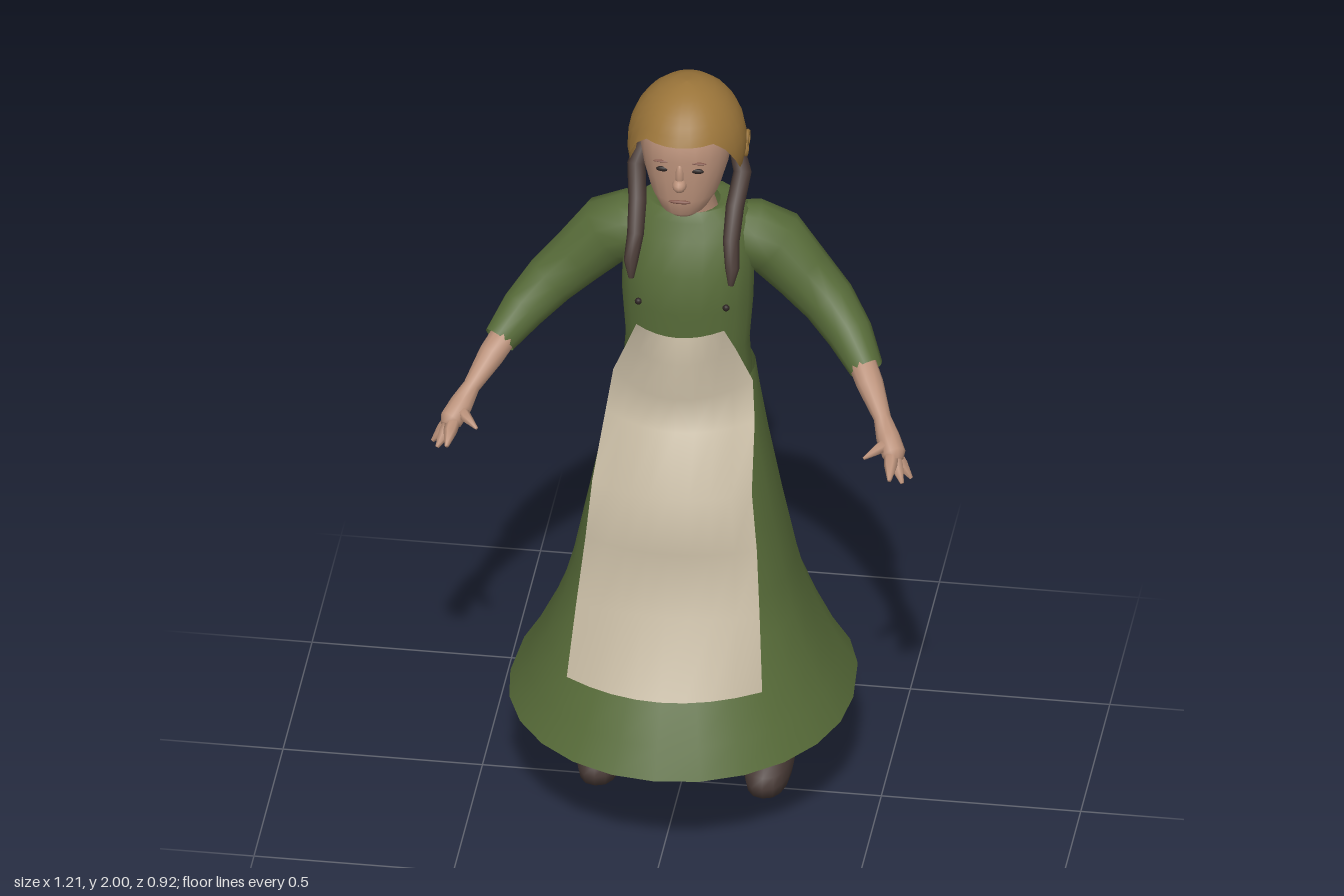
import * as THREE from 'three';

const mat = (name, color, side = THREE.DoubleSide) => {
  const m = new THREE.MeshStandardMaterial({ color, side });
  m.name = name;
  return m;
};

// Skin a grid of points; rows run upward/along, columns run counter-clockwise.
function skin(rows, { closed = true, caps = false, skip = () => false } = {}) {
  const n = rows[0].length, pos = [], idx = [];
  rows.forEach(r => r.forEach(p => pos.push(p.x, p.y, p.z)));
  for (let i = 0; i < rows.length - 1; i++) {
    for (let j = 0; j < (closed ? n : n - 1); j++) {
      if (skip(i, j)) continue;
      const a = i * n + j, b = i * n + (j + 1) % n;
      idx.push(a, b, b + n, a, b + n, a + n);
    }
  }
  if (caps) {
    for (const end of [0, rows.length - 1]) {
      const c = rows[end].reduce((s, p) => s.add(p), new THREE.Vector3()).divideScalar(n);
      const k = pos.length / 3;
      pos.push(c.x, c.y, c.z);
      for (let j = 0; j < n; j++) {
        const a = end * n + j, b = end * n + (j + 1) % n;
        end ? idx.push(a, b, k) : idx.push(b, a, k);
      }
    }
  }
  const g = new THREE.BufferGeometry();
  g.setAttribute('position', new THREE.Float32BufferAttribute(pos, 3));
  g.setIndex(idx);
  g.computeVertexNormals();
  return g;
}

// Horizontal rings: [y, half width, front z, back z]; angle 0 faces the front.
function stack(rows, { seg = 20, cx = 0, front = 2, back = 2, ...opts } = {}) {
  return skin(rows.map(([y, rx, zf, zb]) => Array.from({ length: seg }, (_, j) => {
    const a = j / seg * Math.PI * 2, s = Math.sin(a), c = Math.cos(a);
    const e = 2 / (c > 0 ? front : back);
    return new THREE.Vector3(cx + Math.sign(s) * Math.abs(s) ** e * rx, y,
      (zf + zb) / 2 + Math.sign(c) * Math.abs(c) ** e * (zf - zb) / 2);
  })), opts);
}

// Round limb along points [x, y, z, radius], mirrored with s.
function limb(points, s = 1, seg = 10, caps = true) {
  const c = points.map(p => new THREE.Vector3(p[0] * s, p[1], p[2]));
  return skin(c.map((p, i) => {
    const d = c[Math.min(i + 1, c.length - 1)].clone().sub(c[Math.max(i - 1, 0)]).normalize();
    const u = new THREE.Vector3(0, 0, 1).cross(d).normalize();
    const v = d.clone().cross(u);
    return Array.from({ length: seg }, (_, j) => {
      const a = j / seg * Math.PI * 2, r = points[i][3];
      return p.clone().addScaledVector(u, Math.cos(a) * r).addScaledVector(v, Math.sin(a) * r);
    });
  }), { caps });
}

export function createModel() {
  const root = new THREE.Group();
  const green = mat('dress green', 0x566a38), linen = mat('apron linen', 0xc2b69f);
  const skinTone = mat('skin', 0xba917a), ochre = mat('cap ochre', 0x9b753a);
  const hair = mat('hair brown', 0x4a3b36), leather = mat('shoe leather', 0x483a36);
  const dark = mat('eye dark', 0x2c2422), lip = mat('lip', 0x855a4e);
  const add = (name, geo, m, parent = root) => {
    const mesh = new THREE.Mesh(geo, m);
    mesh.name = name;
    parent.add(mesh);
    return mesh;
  };
  const blob = (name, m, x, y, z, sx, sy, sz, parent) => {
    const b = add(name, new THREE.SphereGeometry(1, 12, 8), m, parent);
    b.position.set(x, y, z);
    b.scale.set(sx, sy, sz);
    return b;
  };

  // Skirt, with a stepped opening behind the apron
  const opening = { 4: 2, 5: 3, 6: 4, 7: 4 };
  add('skirt', stack([
    [0.285, 0.43, 0.46, -0.46], [0.36, 0.385, 0.42, -0.42], [0.45, 0.34, 0.365, -0.385],
    [0.55, 0.3, 0.3, -0.345], [0.64, 0.275, 0.245, -0.32], [0.81, 0.24, 0.215, -0.29],
    [0.98, 0.205, 0.17, -0.27], [1.1, 0.18, 0.1, -0.255], [1.17, 0.168, 0.04, -0.235],
  ], { seg: 24, back: 2.5, skip: (i, j) => Math.min(j, 23 - j) < (opening[i] || 0) }), green);

  // Bodice
  add('bodice', stack([
    [1.15, 0.162, 0.02, -0.215], [1.25, 0.155, 0.015, -0.21], [1.38, 0.165, 0.025, -0.225],
    [1.48, 0.165, 0.012, -0.245], [1.56, 0.16, -0.03, -0.248], [1.6, 0.145, -0.055, -0.243],
    [1.628, 0.11, -0.065, -0.235], [1.62, 0.075, -0.075, -0.215],
  ], { back: 2.4 }), green);

  // Apron: a curved sheet, [y, half width, middle z, edge z]
  add('apron', skin([
    [0.47, 0.245, 0.385, 0.3], [0.65, 0.23, 0.275, 0.24], [0.81, 0.215, 0.235, 0.185],
    [0.97, 0.2, 0.235, 0.17], [1.09, 0.187, 0.11, 0.03], [1.18, 0.175, 0.1, -0.02],
    [1.28, 0.135, 0.1, 0], [1.35, 0.11, 0.08, 0.03],
  ].map(([y, w, zm, ze]) => Array.from({ length: 9 }, (_, j) => {
    const u = j / 4 - 1;
    return new THREE.Vector3(u * w, y, zm + (ze - zm) * u * u);
  })), { closed: false }), linen);

  // Head and neck
  const head = new THREE.Group();
  head.name = 'head';
  root.add(head);
  add('neck', stack([[1.57, 0.08, -0.07, -0.21], [1.64, 0.062, -0.07, -0.19],
    [1.76, 0.065, -0.04, -0.2]]), skinTone, head);
  add('face', stack([
    [1.66, 0.035, 0.005, -0.08], [1.68, 0.06, 0.028, -0.13], [1.72, 0.086, 0.035, -0.18],
    [1.78, 0.104, 0.042, -0.21], [1.84, 0.115, 0.043, -0.22], [1.9, 0.112, 0.04, -0.22],
    [1.95, 0.08, 0, -0.18],
  ], { caps: true, front: 2.2 }), skinTone, head);
  blob('nose', skinTone, 0, 1.775, 0.042, 0.018, 0.018, 0.023, head);
  blob('noseBridge', skinTone, 0, 1.8, 0.038, 0.011, 0.035, 0.014, head);
  blob('mouth', lip, 0, 1.722, 0.036, 0.028, 0.005, 0.006, head);

  // Cap: part of an ellipsoid with a rim that drops from forehead to nape
  const rim = a => {
    const t = THREE.MathUtils.smoothstep(a, 0.65, 1.5);
    return 1.9 - 0.13 * t - 0.04 * THREE.MathUtils.smoothstep(a, 1.5, 3.1);
  };
  add('cap', skin(Array.from({ length: 9 }, (_, i) => Array.from({ length: 28 }, (_, j) => {
    const a = j / 28 * Math.PI * 2;
    const low = Math.asin((rim(Math.min(a, Math.PI * 2 - a)) - 1.83) / 0.17);
    const p = THREE.MathUtils.lerp(low, Math.PI / 2 - 0.001, i / 8), r = Math.cos(p);
    return new THREE.Vector3(Math.sin(a) * r * 0.148, 1.83 + 0.17 * Math.sin(p),
      -0.09 + Math.cos(a) * r * 0.175);
  }))), ochre, head);

  // Bow behind the cap
  blob('bowKnot', ochre, 0, 1.735, -0.285, 0.014, 0.016, 0.014, head);

  for (const s of [1, -1]) {
    // Facial details
    blob('eye', dark, s * 0.043, 1.815, 0.034, 0.017, 0.007, 0.006, head);
    blob('eyebrow', lip, s * 0.045, 1.838, 0.035, 0.022, 0.003, 0.005, head);
    // Bow loops, tails and side curls
    const loop = blob('bowLoop', ochre, s * 0.03, 1.738, -0.297, 0.025, 0.016, 0.01, head);
    loop.rotation.y = s * 0.35;
    add('bowTail', limb([[0.005, 1.735, -0.285, 0.007], [0.022, 1.67, -0.295, 0.012],
      [0.032, 1.605, -0.304, 0.01]], s, 6), ochre, head).name = 'bowTail';
    for (const [y, z] of [[1.79, -0.13], [1.805, -0.155]]) {
      const curl = add('capCurl', new THREE.TorusGeometry(0.016, 0.006, 6, 12), ochre, head);
      curl.position.set(s * 0.142, y, z);
      curl.rotation.y = Math.PI / 2;
    }
    // Braid falling forward over the shoulder
    add('braid', limb([[0.115, 1.78, -0.15, 0.02], [0.133, 1.72, -0.13, 0.023],
      [0.122, 1.65, -0.075, 0.023], [0.12, 1.58, -0.025, 0.021], [0.127, 1.52, 0.005, 0.018],
      [0.125, 1.475, 0.015, 0.007]], s, 8), hair);
    // Sleeve, open at the cuff
    add('sleeve', limb([[0.1, 1.53, -0.16, 0.075], [0.15, 1.52, -0.165, 0.088],
      [0.21, 1.495, -0.17, 0.088], [0.28, 1.42, -0.16, 0.076], [0.35, 1.355, -0.135, 0.068],
      [0.41, 1.295, -0.085, 0.058], [0.46, 1.24, -0.02, 0.043]], s, 12, false), green);
    // Forearm and hand
    const arm = new THREE.Group();
    arm.name = s > 0 ? 'leftHand' : 'rightHand';
    root.add(arm);
    add('forearm', limb([[0.43, 1.275, -0.055, 0.036], [0.475, 1.22, 0.02, 0.034],
      [0.515, 1.165, 0.085, 0.022], [0.535, 1.135, 0.125, 0.03],
      [0.555, 1.11, 0.16, 0.03], [0.563, 1.1, 0.175, 0.018]], s), skinTone, arm);
    for (const [x, y, z] of [[0.6, 1.05, 0.17], [0.583, 1.058, 0.21], [0.555, 1.08, 0.238]]) {
      add('finger', limb([[0.547, 1.12, 0.15, 0.02],
        [(0.55 + x) / 2, (1.115 + y) / 2, (0.155 + z) / 2, 0.017], [x, y, z, 0.005]], s, 6),
      skinTone, arm);
    }
    add('thumb', limb([[0.54, 1.13, 0.135, 0.018], [0.515, 1.125, 0.17, 0.014],
      [0.485, 1.115, 0.2, 0.004]], s, 6), skinTone, arm);
    // Bodice button
    blob('button', dark, s * 0.11, 1.395, -0.005, 0.009, 0.009, 0.008);
    // Shoe
    add('shoe', stack([[0, 0.054, 0.055, -0.2], [0.03, 0.06, 0.065, -0.21],
      [0.055, 0.058, 0.05, -0.21], [0.085, 0.053, 0, -0.208], [0.118, 0.045, -0.055, -0.2],
    ], { cx: s * 0.21, front: 2.4, back: 3, caps: true, seg: 16 }), leather);
  }

  // Left ankle, flaring at its open top
  add('ankle', stack([[0.09, 0.032, -0.075, -0.185], [0.14, 0.028, -0.11, -0.185],
    [0.18, 0.026, -0.14, -0.185], [0.222, 0.042, -0.155, -0.188]], { cx: 0.21, seg: 12 }), skinTone);

  return root;
}
